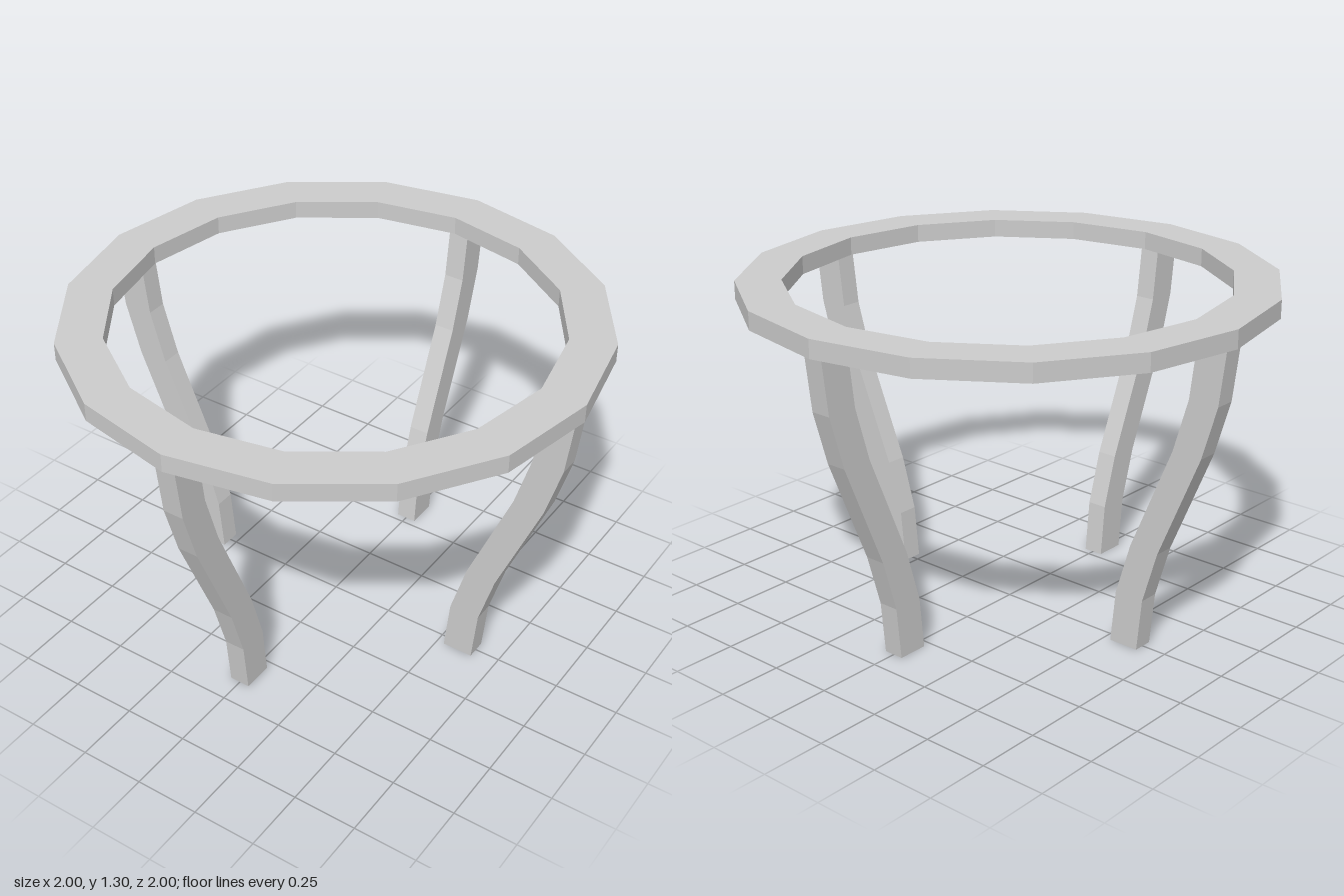
import * as THREE from 'three';

const material = new THREE.MeshStandardMaterial({ color: 0xcccccc, flatShading: true });

// Sixteen-sided flat ring with a rectangular section
function createRing() {
  const section = [[0.83, 1.23], [1, 1.23], [1, 1.3], [0.83, 1.3], [0.83, 1.23]]
    .map(([r, y]) => new THREE.Vector2(r, y));
  const ring = new THREE.Mesh(new THREE.LatheGeometry(section, 16), material);
  ring.name = 'topRing';
  return ring;
}

// S-curved leg: the inner edge, offset sideways to give the outer edge
function createLegGeometry() {
  const depth = 0.08, width = 0.12;
  const inner = [[0.53, 0], [0.55, 0.205], [0.61, 0.41], [0.78, 0.82], [0.84, 1.025], [0.865, 1.23]];
  const outer = inner.map(([x, y]) => [x + width, y]).reverse();
  const shape = new THREE.Shape([...inner, ...outer].map(([x, y]) => new THREE.Vector2(x, y)));
  const geometry = new THREE.ExtrudeGeometry(shape, { depth, bevelEnabled: false });
  return geometry.translate(0, 0, -depth / 2);
}

export function createModel() {
  const model = new THREE.Group();
  model.name = 'roundTableFrame';
  model.add(createRing());

  // Four legs a quarter turn apart
  const legGeometry = createLegGeometry();
  ['leftLeg', 'backLeg', 'rightLeg', 'frontLeg'].forEach((name, i) => {
    const leg = new THREE.Mesh(legGeometry, material);
    leg.name = name;
    leg.rotation.y = (i * Math.PI) / 2;
    model.add(leg);
  });
  return model;
}
